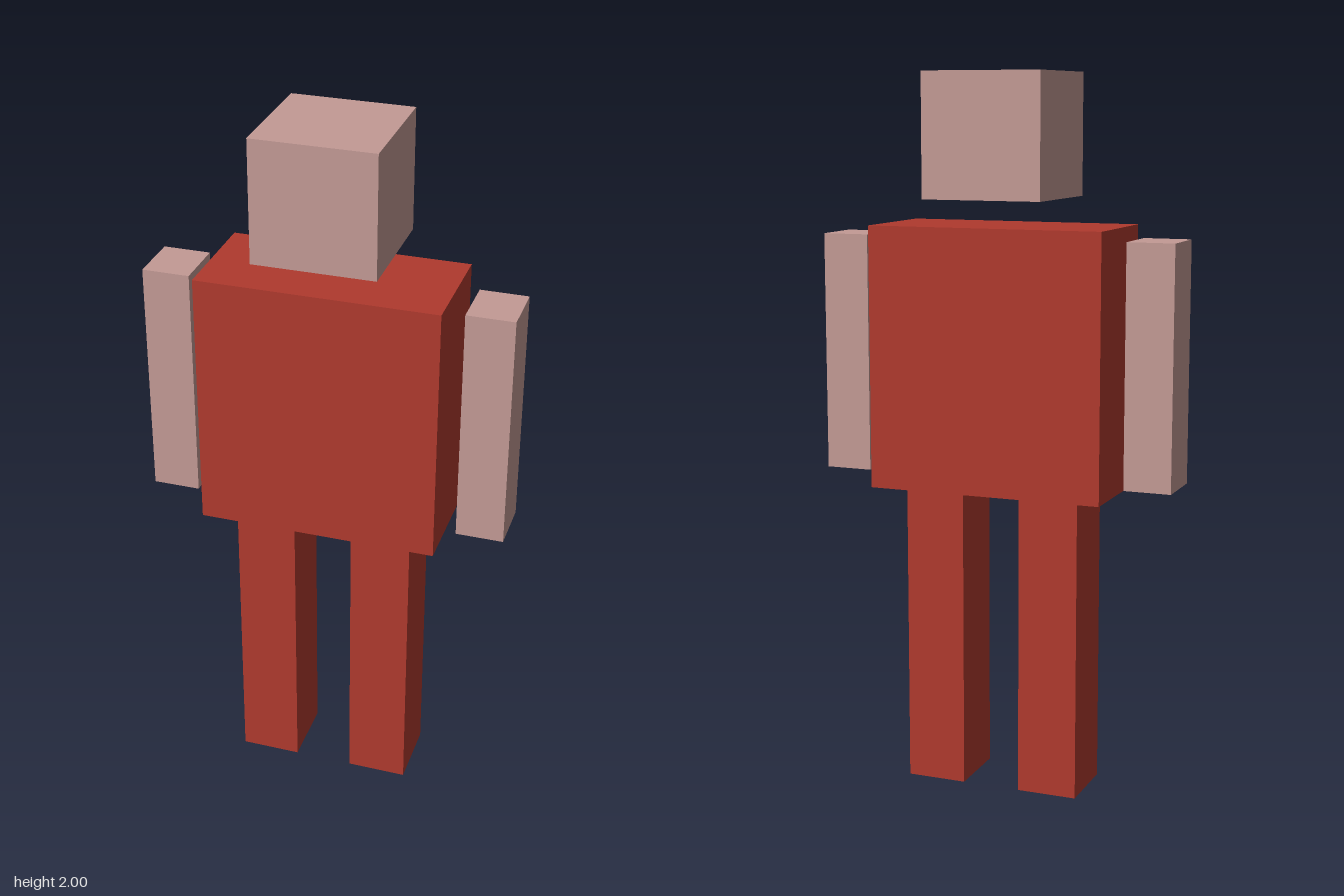
import * as THREE from 'three';

export function createModel() {
  const model = new THREE.Group();
  model.name = 'blockFigure';
  const clothing = new THREE.MeshStandardMaterial({ color: 0xb03a2e });
  const skin = new THREE.MeshStandardMaterial({ color: 0xc39a95 });

  // Box with its bottom at height y
  function addBox(name, material, [w, h, d], x, y) {
    const mesh = new THREE.Mesh(new THREE.BoxGeometry(w, h, d), material);
    mesh.name = name;
    mesh.position.set(x, y + h / 2, 0);
    model.add(mesh);
  }

  // Head floats just above the torso
  addBox('head', skin, [0.338, 0.338, 0.338], 0, 1.662);
  addBox('torso', clothing, [0.67, 0.73, 0.316], 0, 0.858);

  // Mirrored limbs; arms stand slightly clear of the torso
  for (const [side, sign] of [['left', 1], ['right', -1]]) {
    addBox(side + 'Arm', skin, [0.133, 0.668, 0.156], sign * 0.444, 0.889);
    addBox(side + 'Leg', clothing, [0.17, 0.858, 0.196], sign * 0.168, 0);
  }
  return model;
}
